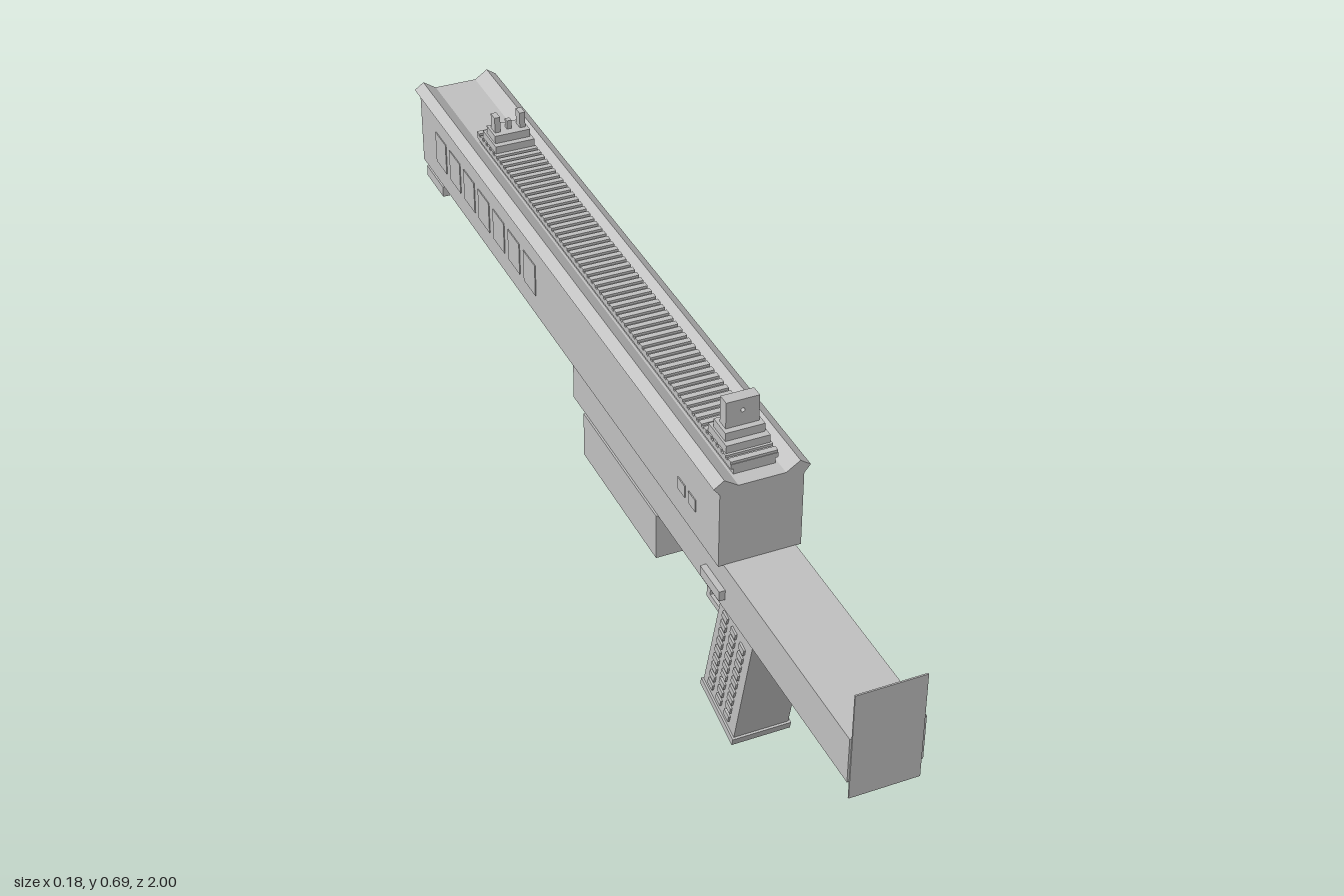
import * as THREE from 'three';

export function createModel() {
  const model = new THREE.Group();
  model.name = 'rifle';
  const grey = new THREE.MeshStandardMaterial({ color: 0xc0c0c0 });
  grey.name = 'grey';

  const add = (name, geometry, parent = model) => {
    const mesh = new THREE.Mesh(geometry, grey);
    mesh.name = name;
    parent.add(mesh);
    return mesh;
  };
  // Box given by its limits on each axis
  const box = (name, x0, x1, y0, y1, z0, z1, parent = model) => {
    const mesh = add(name, new THREE.BoxGeometry(x1 - x0, y1 - y0, z1 - z0), parent);
    mesh.position.set((x0 + x1) / 2, (y0 + y1) / 2, (z0 + z1) / 2);
    return mesh;
  };
  const shapeOf = (points) => new THREE.Shape(points.map(([a, b]) => new THREE.Vector2(a, b)));
  // Side outline in (z, y), extruded across the width
  const sidePlate = (name, points, width) => {
    const g = new THREE.ExtrudeGeometry(shapeOf(points), { depth: width, bevelEnabled: false });
    g.translate(0, 0, -width / 2).rotateY(-Math.PI / 2);
    return add(name, g);
  };

  // Receiver and barrel housing with flared top lips
  const half = [[0.08, 0.404], [0.08, 0.561], [0.092, 0.576], [0.072, 0.59], [0.045, 0.572]];
  const section = [...half, ...half.map(([x, y]) => [-x, y]).reverse()];
  const housing = new THREE.ExtrudeGeometry(shapeOf(section), { depth: 1.52, bevelEnabled: false });
  housing.translate(0, 0, -1);
  add('housing', housing);

  // Stock, butt plate, front block and muzzle lug
  box('stock', -0.07, 0.07, 0.31, 0.405, -0.17, 0.998);
  box('buttPlate', -0.066, 0.066, 0.274, 0.498, 0.997, 1);
  box('foreBlock', -0.074, 0.074, 0.212, 0.311, -0.11, 0.24);
  box('muzzleLugNeck', -0.066, 0.066, 0.38, 0.405, -1, -0.9);
  box('muzzleLug', -0.074, 0.074, 0.362, 0.386, -1, -0.9);

  // Raised panels on both sides
  for (const s of [1, -1]) {
    const panel = (name, y0, y1, z0, z1) =>
      box(name, s * 0.08 - 0.002, s * 0.08 + 0.002, y0, y1, z0, z1);
    for (let i = 0; i < 7; i++) {
      const z = -0.335 - i * 0.085;
      panel('ventPanel', 0.45, 0.52, z - 0.062, z);
    }
    if (s > 0) {
      panel('ejectionPanel', 0.436, 0.525, -0.01, 0.2);
      panel('longPanel', 0.477, 0.503, -0.305, -0.055);
    } else {
      panel('selectorMark', 0.457, 0.482, 0.35, 0.38);
      panel('selectorMark', 0.457, 0.482, 0.395, 0.425);
    }
  }
  box('selectorLever', -0.082, -0.069, 0.334, 0.355, 0.45, 0.53);

  // Ribbed top rail
  box('railBase', -0.04, 0.04, 0.57, 0.586, -0.745, 0.488);
  box('railBed', -0.045, 0.045, 0.583, 0.593, -0.745, 0.488);
  for (let i = 0; i < 62; i++) {
    const z = -0.745 + i * 0.02;
    box('railRib', -0.045, 0.045, 0.592, 0.598, z, z + 0.012);
  }

  // Stepped sight bases
  for (const [z, name] of [[0.425, 'rearSight'], [-0.68, 'frontSight']]) {
    const sight = new THREE.Group();
    sight.name = name;
    sight.position.z = z;
    model.add(sight);
    box('sightFoot', -0.042, 0.042, 0.596, 0.614, -0.037, 0.037, sight);
    box('sightStep', -0.038, 0.038, 0.613, 0.631, -0.024, 0.024, sight);
    if (z > 0) {
      // Aperture plate
      const plate = shapeOf([[-0.032, 0.63], [0.032, 0.63], [0.032, 0.685], [-0.032, 0.685]]);
      const hole = new THREE.Path();
      hole.absarc(0, 0.662, 0.004, 0, Math.PI * 2, true);
      plate.holes.push(hole);
      const g = new THREE.ExtrudeGeometry(plate, { depth: 0.024, bevelEnabled: false, curveSegments: 8 });
      g.translate(0, 0, -0.012);
      add('aperturePlate', g, sight);
    } else {
      for (const s of [1, -1]) {
        box('sightEar', s * 0.027 - 0.006, s * 0.027 + 0.006, 0.63, 0.665, -0.011, 0.011, sight);
      }
      box('sightPost', -0.005, 0.005, 0.63, 0.65, -0.006, 0.006, sight);
    }
  }

  // Raked pistol grip with base plate
  sidePlate('grip', [[0.62, 0.312], [0.608, 0.262], [0.549, 0.014], [0.417, 0.05], [0.487, 0.312]], 0.11);
  sidePlate('gripBase', [[0.55, 0], [0.554, 0.016], [0.415, 0.053], [0.411, 0.037]], 0.118);

  // Grip studs
  const studs = new THREE.Group();
  studs.name = 'gripStuds';
  studs.position.set(0, 0.16, 0.514);
  studs.rotation.x = 0.257;
  model.add(studs);
  for (const s of [1, -1]) {
    for (let row = 0; row < 9; row++) {
      for (let col = -1; col <= 1; col++) {
        const stud = add('gripStud', new THREE.BoxGeometry(0.008, 0.015, 0.02), studs);
        stud.position.set(s * 0.055, (row - 4) * 0.026, col * 0.036);
      }
    }
  }

  // Trigger guard and trigger
  box('guardFront', -0.018, 0.018, 0.183, 0.312, 0.345, 0.36);
  box('guardBottom', -0.018, 0.018, 0.183, 0.197, 0.345, 0.463);
  sidePlate('trigger', [[0.45, 0.312], [0.442, 0.285], [0.444, 0.262], [0.45, 0.25],
    [0.438, 0.244], [0.429, 0.262], [0.427, 0.288], [0.43, 0.312]], 0.02);
  const pin = add('triggerPin', new THREE.CylinderGeometry(0.01, 0.01, 0.024, 12));
  pin.rotation.z = Math.PI / 2;
  pin.position.set(0, 0.255, 0.43);

  return model;
}
